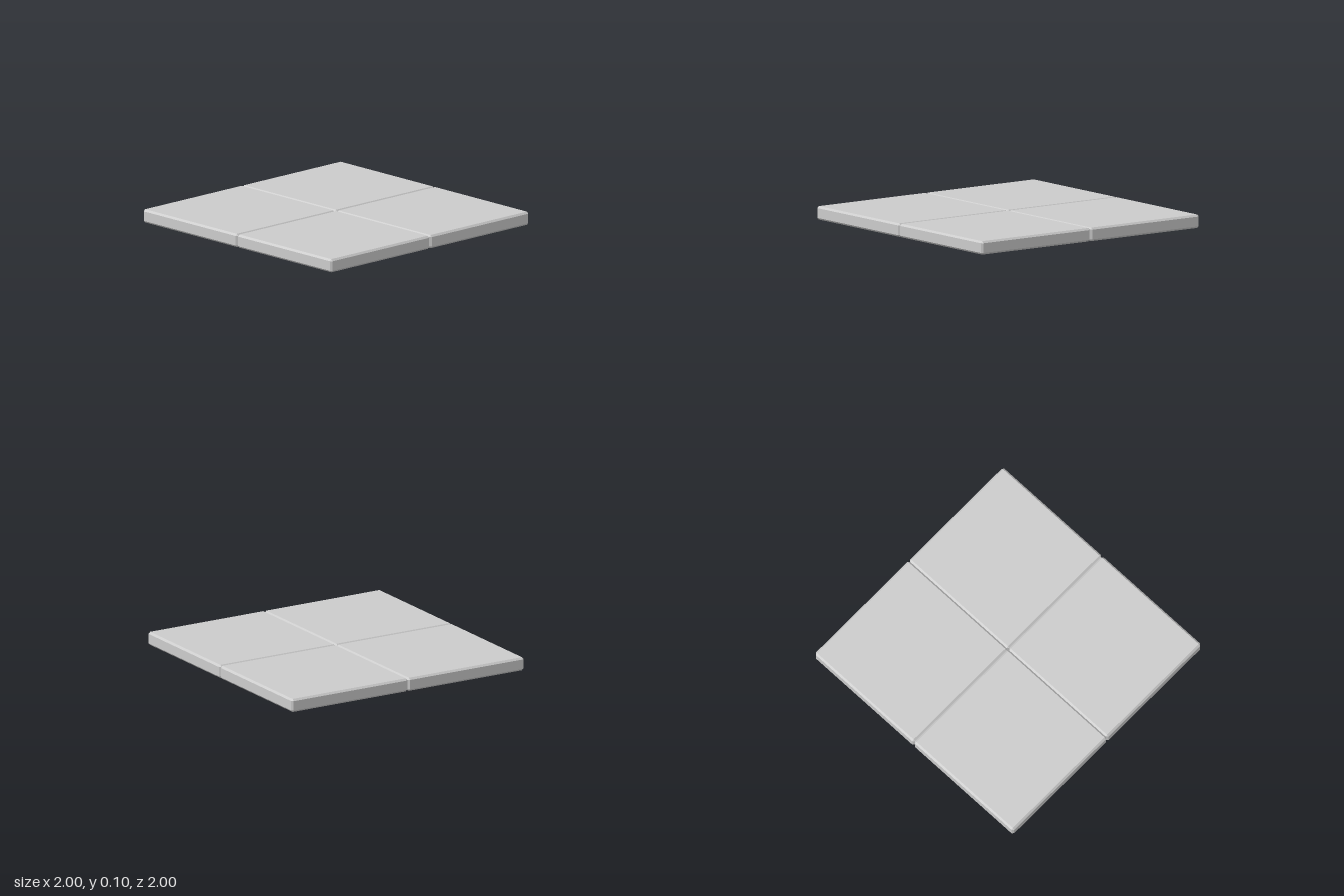
import * as THREE from 'three';
import { ConvexGeometry } from 'three/addons/geometries/ConvexGeometry.js';

// Box with every edge cut at 45 degrees and a small triangle at each corner
function chamferedBox(w, h, d, c) {
  const points = [];
  for (const sx of [-1, 1]) for (const sy of [-1, 1]) for (const sz of [-1, 1]) {
    const x = w / 2, y = h / 2, z = d / 2;
    points.push(
      new THREE.Vector3(sx * x, sy * (y - c), sz * (z - c)),
      new THREE.Vector3(sx * (x - c), sy * y, sz * (z - c)),
      new THREE.Vector3(sx * (x - c), sy * (y - c), sz * z)
    );
  }
  return new ConvexGeometry(points);
}

export function createModel() {
  const group = new THREE.Group();
  group.name = 'floorTiles';
  const material = new THREE.MeshStandardMaterial({ color: 0xcccccc, flatShading: true });
  const size = 1, thickness = 0.1;
  const geometry = chamferedBox(size, thickness, size, 0.014);

  // Two by two tiles, edge to edge
  for (const [side, sx] of [['Left', 1], ['Right', -1]]) {
    for (const [end, sz] of [['front', 1], ['back', -1]]) {
      const tile = new THREE.Mesh(geometry, material);
      tile.name = `${end}${side}Tile`;
      tile.position.set(sx * size / 2, thickness / 2, sz * size / 2);
      group.add(tile);
    }
  }
  return group;
}
